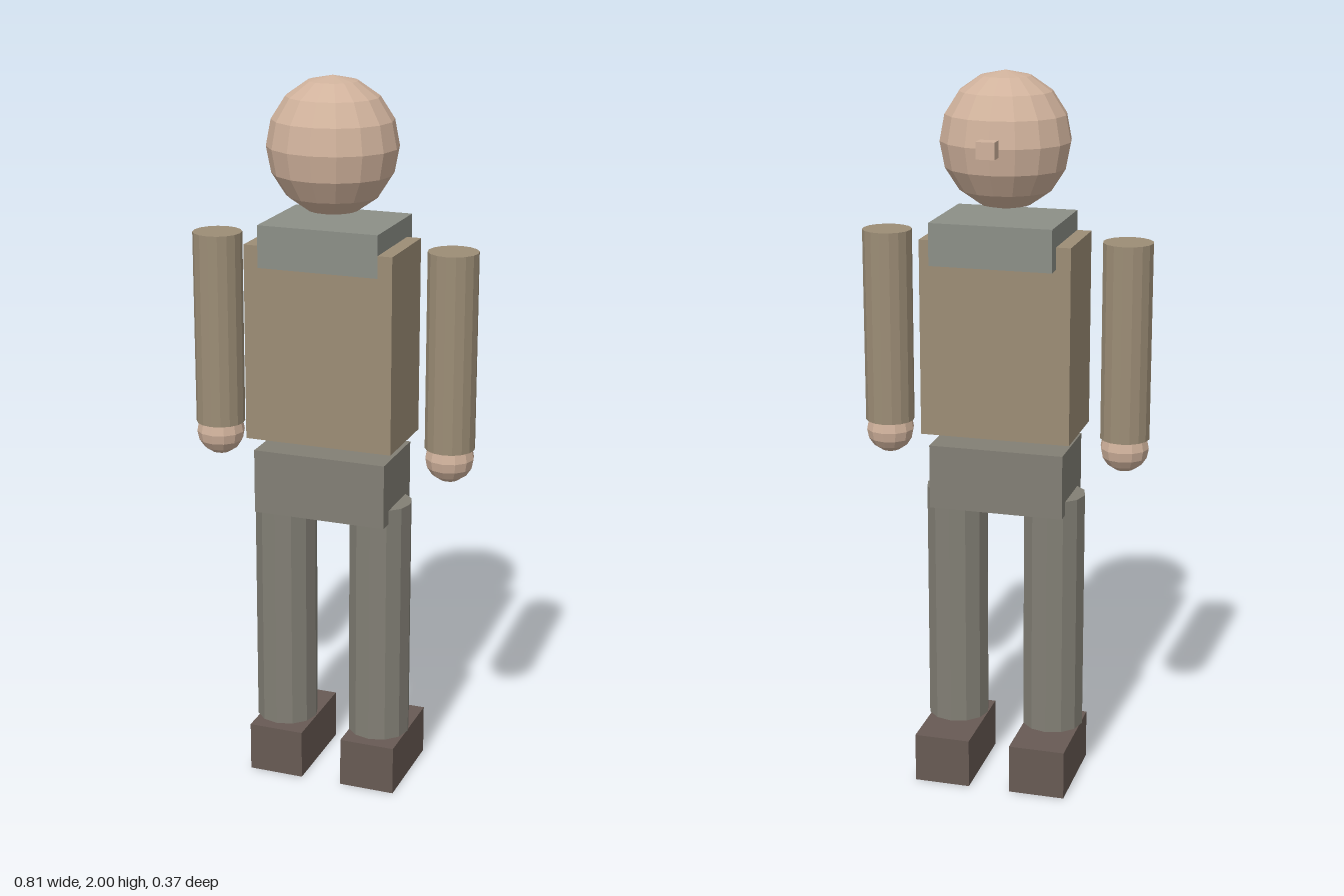
import * as THREE from 'three';

const paint = (color) => new THREE.MeshStandardMaterial({ color, flatShading: true });

export function createModel() {
  const model = new THREE.Group();
  const skin = paint(0xd0b29c);
  const shirt = paint(0x9c8d76);
  const scarf = paint(0x8c8f87);
  const trousers = paint(0x827f75);
  const leather = paint(0x685a54);

  const add = (name, geometry, material, x, y, z) => {
    const mesh = new THREE.Mesh(geometry, material);
    mesh.name = name;
    mesh.position.set(x, y, z);
    model.add(mesh);
    return mesh;
  };

  // Box given by its half width and its y and z limits
  const block = (name, material, x, halfWidth, y0, y1, z0, z1) =>
    add(name, new THREE.BoxGeometry(halfWidth * 2, y1 - y0, z1 - z0), material,
      x, (y0 + y1) / 2, (z0 + z1) / 2);

  // Upright faceted limb
  const limb = (name, material, x, radius, y0, y1, sides) =>
    add(name, new THREE.CylinderGeometry(radius, radius, y1 - y0, sides), material,
      x, (y0 + y1) / 2, 0.014);

  // Head, slightly narrower than tall, with the nose towards -z
  const head = add('head', new THREE.SphereGeometry(1, 16, 8), skin, 0, 1.816, 0.014);
  head.scale.set(0.177, 0.184, 0.168);
  block('nose', skin, 0, 0.025, 1.795, 1.84, -0.187, -0.12);

  // Body
  block('collar', scarf, 0, 0.168, 1.5, 1.615, -0.145, 0.134);
  block('torso', shirt, 0, 0.208, 1.02, 1.56, -0.103, 0.133);
  block('hips', trousers, 0, 0.188, 0.805, 0.985, -0.094, 0.127);

  // Arms, hands, legs and shoes on both sides
  for (const [side, s] of [['left', 1], ['right', -1]]) {
    limb(side + 'Arm', shirt, s * 0.336, 0.068, 1.02, 1.56, 16);
    add(side + 'Hand', new THREE.SphereGeometry(0.067, 12, 8), skin, s * 0.336, 0.993, 0.014);
    limb(side + 'Leg', trousers, s * 0.14, 0.087, 0.152, 0.843, 12);
    block(side + 'Shoe', leather, s * 0.138, 0.079, 0, 0.14, -0.165, 0.113);
  }

  return model;
}
